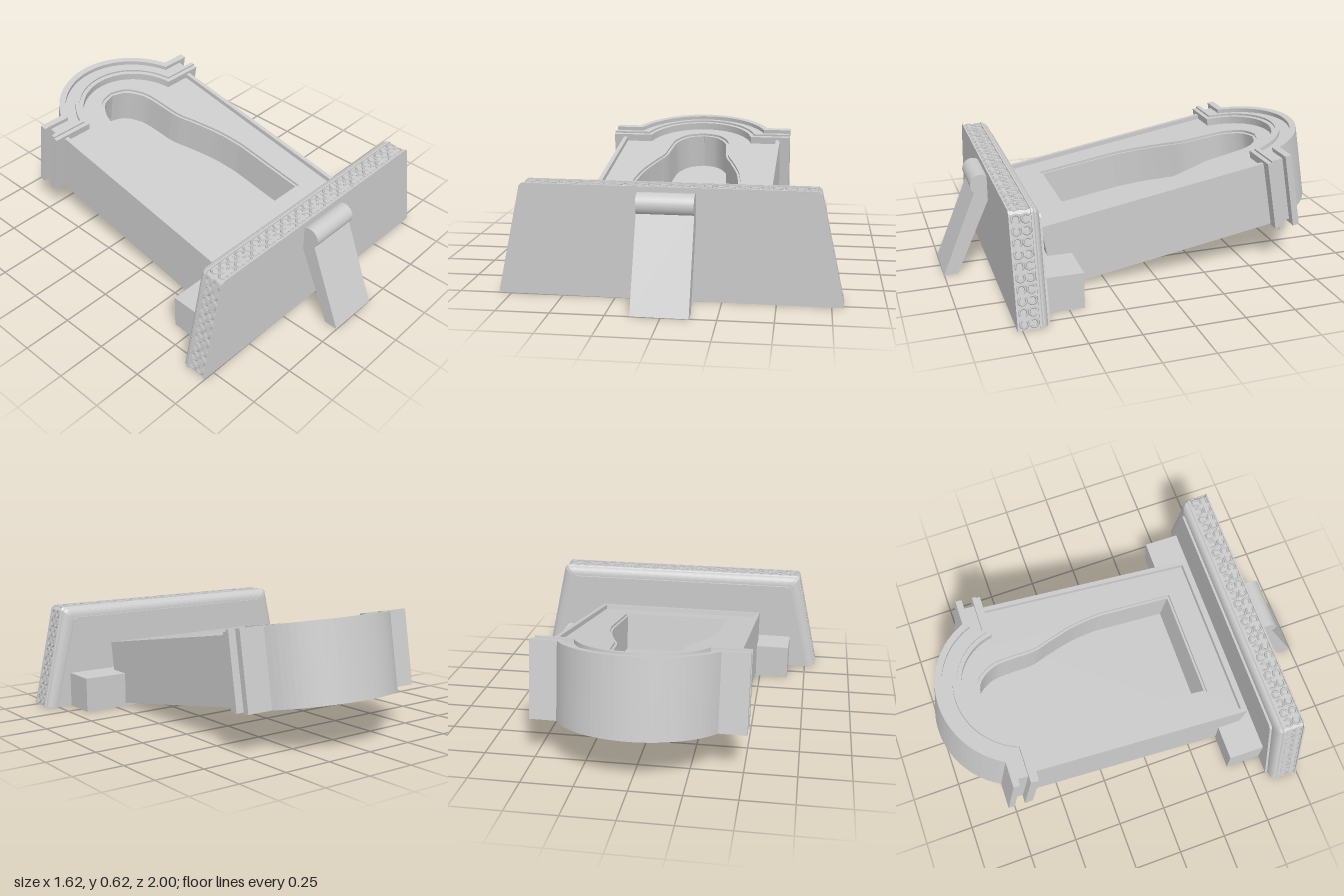
import * as THREE from 'three';

const grey = new THREE.MeshStandardMaterial({ color: 0xcccccc, side: THREE.DoubleSide });
const flat = new THREE.MeshStandardMaterial({ color: 0xcccccc, flatShading: true, side: THREE.DoubleSide });

function add(parent, name, geometry, material = grey) {
  const mesh = new THREE.Mesh(geometry, material);
  mesh.name = name;
  parent.add(mesh);
  return mesh;
}

// Plan outline (x across, length along -z) raised from height t0 to t1
function slabOf(points, t0, t1, hole) {
  const shape = new THREE.Shape(points);
  if (hole) shape.holes.push(new THREE.Path(hole));
  const g = new THREE.ExtrudeGeometry(shape, { depth: t1 - t0, bevelEnabled: false });
  return g.translate(0, 0, t0).rotateX(-Math.PI / 2);
}

// Shouldered arch line, running from the right end to the left end
const ARCH_U = 1.09;
function archLine(halfWidth, shoulder, radius) {
  const a = Math.asin((shoulder - ARCH_U) / radius);
  const pts = [new THREE.Vector2(halfWidth, shoulder)];
  for (let i = 0; i <= 32; i++) {
    const k = a + (Math.PI - 2 * a) * i / 32;
    pts.push(new THREE.Vector2(radius * Math.cos(k), ARCH_U + radius * Math.sin(k)));
  }
  pts.push(new THREE.Vector2(-halfWidth, shoulder));
  return pts;
}

function archPanel(halfWidth, start, shoulder, radius) {
  return [new THREE.Vector2(-halfWidth, start), new THREE.Vector2(halfWidth, start),
    ...archLine(halfWidth, shoulder, radius)];
}

// Keyhole-like opening: wide chest, narrow neck, round head
function cavityOutline(inset) {
  const side = new THREE.SplineCurve([[0.285, 0.57], [0.262, 0.71], [0.215, 0.86], [0.18, 0.96],
    [0.167, 1.1], [0.15, 1.2], [0.09, 1.285], [0, 1.315]]
    .map(([x, u]) => new THREE.Vector2(x, u))).getPoints(36);
  const right = [new THREE.Vector2(0.292, 0.16), ...side].map(p =>
    new THREE.Vector2(Math.max(0, p.x - inset), p.y > 1 ? p.y - inset : p.y < 0.2 ? p.y + inset : p.y));
  const left = right.slice(0, -1).reverse().map(p => new THREE.Vector2(-p.x, p.y));
  return [...right, ...left];
}

// Trapezoid sections joined along z
function loftPlate(rings) {
  const section = ([z, i]) => [[-0.81 + i, 0], [0.81 - i, 0], [0.694 - i, 0.522 - i],
    [0.68 - i, 0.535 - i], [-0.68 + i, 0.535 - i], [-0.694 + i, 0.522 - i]].map(([x, y]) => [x, y, z]);
  const loops = rings.map(section), pos = [], n = loops[0].length;
  const tri = (a, b, c) => pos.push(...a, ...b, ...c);
  for (let r = 0; r < loops.length - 1; r++) {
    for (let k = 0; k < n; k++) {
      const a = loops[r][k], b = loops[r][(k + 1) % n];
      const c = loops[r + 1][(k + 1) % n], d = loops[r + 1][k];
      tri(a, c, b);
      tri(a, d, c);
    }
  }
  const front = loops[0], back = loops[loops.length - 1];
  for (let k = 1; k < n - 1; k++) {
    tri(front[0], front[k], front[k + 1]);
    tri(back[0], back[k + 1], back[k]);
  }
  const g = new THREE.BufferGeometry();
  g.setAttribute('position', new THREE.Float32BufferAttribute(pos, 3));
  g.computeVertexNormals();
  return g;
}

// Row of paired scrolls along one edge of the plate
function scrollRow(parent, name, from, to, count) {
  const row = new THREE.Group();
  row.name = name;
  const scroll = new THREE.TorusGeometry(0.019, 0.006, 4, 10, 5).rotateX(-Math.PI / 2);
  const angle = Math.atan2(to.y - from.y, to.x - from.x);
  for (let i = 0; i < count; i++) {
    const p = from.clone().lerp(to, (i + 0.5) / count);
    const cell = new THREE.Group();
    cell.position.set(p.x, p.y, 0.705);
    cell.rotation.z = angle;
    for (const s of [1, -1]) {
      const m = add(cell, 'scroll', scroll);
      m.position.z = s * 0.023;
      m.rotation.y = s * 0.8 + (i % 2) * Math.PI;
    }
    row.add(cell);
  }
  parent.add(row);
}

function buildStand() {
  const stand = new THREE.Group();
  stand.name = 'stand';
  stand.position.x = 0.01;
  stand.rotation.y = -0.0156;

  // Base plate: flat front, sunken ornament band, cove moulding behind
  const rings = [[0.76, 0], [0.752, 0], [0.752, 0.007], [0.658, 0.007], [0.658, 0], [0.648, 0]];
  for (let i = 0; i <= 8; i++) {
    const a = i / 8 * Math.PI / 2;
    rings.push([0.642 - 0.03 * Math.sin(a), 0.006 + 0.049 * (1 - Math.cos(a))]);
  }
  rings.push([0.6, 0.055]);
  add(stand, 'basePlate', loftPlate(rings), flat);

  const v = (x, y) => new THREE.Vector2(x, y);
  scrollRow(stand, 'topScrolls', v(0.68, 0.529), v(-0.68, 0.529), 26);
  scrollRow(stand, 'leftScrolls', v(0.804, 0.005), v(0.688, 0.522), 10);
  scrollRow(stand, 'rightScrolls', v(-0.688, 0.522), v(-0.804, 0.005), 10);

  // Cross block beneath the body
  add(stand, 'crossBlock', new THREE.BoxGeometry(1.33, 0.18, 0.2)).position.set(0.008, 0.09, 0.515);

  // Sloping prop with a round head
  const leg = new THREE.Shape([[-1, 0], [-0.93, 0], [-0.75, 0.4], [-0.75, 0.45], [-0.815, 0.45]]
    .map(([x, y]) => v(x, y)));
  add(stand, 'propLeg', new THREE.ExtrudeGeometry(leg, { depth: 0.265, bevelEnabled: false })
    .translate(0, 0, -0.1325).rotateY(Math.PI / 2));
  const roll = add(stand, 'propRoll', new THREE.CylinderGeometry(0.053, 0.053, 0.265, 28));
  roll.rotation.z = Math.PI / 2;
  roll.position.set(0, 0.462, 0.79);
  return stand;
}

function buildBody() {
  const body = new THREE.Group();
  body.name = 'body';
  body.rotation.order = 'YXZ';
  body.rotation.set(THREE.MathUtils.degToRad(10), -0.0156, 0);
  body.position.set(-0.018, 0, 0.503);

  // Case: floor, hollow walls, stepped lip and raised rim
  const outline = archPanel(0.46, 0, 1.24, 0.37);
  add(body, 'caseFloor', slabOf(outline, 0, 0.11));
  add(body, 'caseWalls', slabOf(outline, 0.11, 0.3, cavityOutline(0.012)));
  add(body, 'caseFace', slabOf(outline, 0.3, 0.312, cavityOutline(0)));
  add(body, 'caseRim', slabOf(outline, 0.312, 0.336, archPanel(0.437, 0.03, 1.2, 0.33)));

  // Crown moulding: two ridges with a groove between
  const bands = [['innerRidge', 0, 0.022, 0.515, 0.352], ['innerStep', 0.022, 0.042, 0.515, 0.362],
    ['crownGroove', 0.042, 0.097, 0.475, 0.342], ['outerRidge', 0.097, 0.13, 0.515, 0.364]];
  for (const [name, d0, d1, halfWidth, top] of bands) {
    const inner = archLine(halfWidth, 1.158 + d0, 0.3 + d0);
    const outer = archLine(halfWidth, 1.158 + d1, 0.3 + d1);
    add(body, name, slabOf([...inner, ...outer.reverse()], 0.345 - top, top));
  }
  return body;
}

export function createModel() {
  const model = new THREE.Group();
  model.name = 'fallenMonument';
  model.add(buildStand(), buildBody());
  return model;
}
